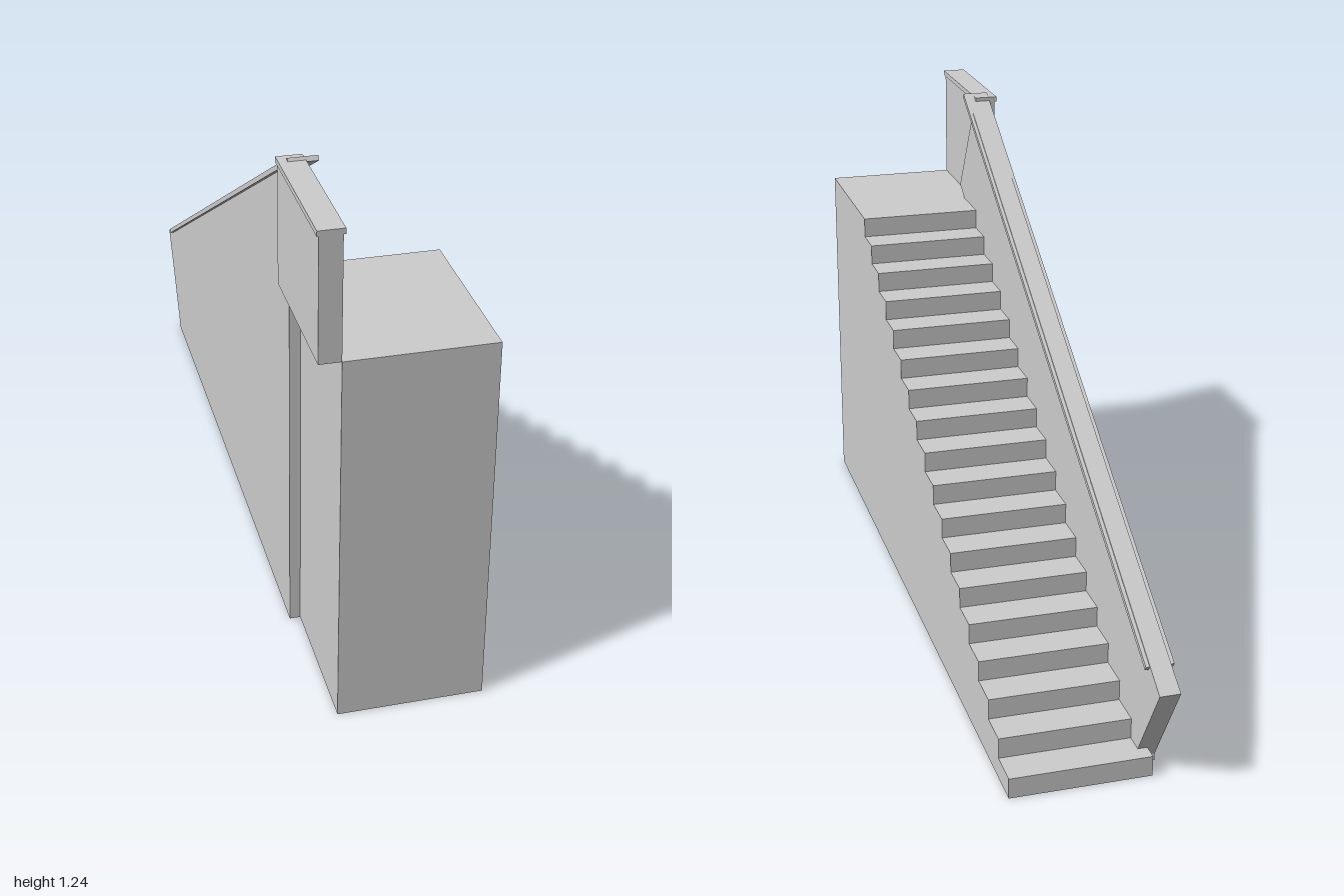
import * as THREE from 'three';

export function createModel() {
  const model = new THREE.Group();
  const stone = new THREE.MeshStandardMaterial({ color: 0xcccccc });
  stone.name = 'light grey stone';

  const add = (name, geometry) => {
    const mesh = new THREE.Mesh(geometry, stone);
    mesh.name = name;
    model.add(mesh);
    return mesh;
  };

  // Side profile given as [z, y] points, extruded from x0 to x1
  const slab = (name, points, x0, x1) => {
    const shape = new THREE.Shape(points.map(([z, y]) => new THREE.Vector2(z, y)));
    const geometry = new THREE.ExtrudeGeometry(shape, { depth: x1 - x0, bevelEnabled: false });
    geometry.rotateY(-Math.PI / 2).translate(x1, 0, 0);
    return add(name, geometry);
  };

  const box = (name, x0, x1, y0, y1, z0, z1) => {
    const geometry = new THREE.BoxGeometry(x1 - x0, y1 - y0, z1 - z0);
    geometry.translate((x0 + x1) / 2, (y0 + y1) / 2, (z0 + z1) / 2);
    return add(name, geometry);
  };

  // Solid flight of steps with the landing at the top
  const steps = 18, height = 0.93, foot = -0.91, landing = 0.565;
  const rise = height / steps, tread = (landing - foot) / (steps - 1);
  const profile = [[1, 0], [foot, 0]];
  for (let i = 0; i < steps; i++) {
    const z = foot + i * tread;
    profile.push([z, (i + 1) * rise]);
    if (i < steps - 1) profile.push([z + tread, (i + 1) * rise]);
  }
  profile.push([1, height]);
  slab('stairs', profile, -0.145, 0.2);

  // Sloping side wall: a tilted rectangle, described along and below its top edge
  const low = [-0.997, 0.265], high = [0.595, 1.205];
  const length = Math.hypot(high[0] - low[0], high[1] - low[1]);
  const dz = (high[0] - low[0]) / length, dy = (high[1] - low[1]) / length;
  const onSlope = (along, below) => [
    low[0] + dz * along + dy * below,
    low[1] + dy * along - dz * below,
  ];
  const tilted = (a0, a1, b0, b1) => [onSlope(a0, b0), onSlope(a0, b1), onSlope(a1, b1), onSlope(a1, b0)];
  const depth = 0.287;
  slab('slopingWall', tilted(0, length, 0, depth), -0.171, -0.121);

  // Handrail moulding, wider than the wall and shifted up the slope
  slab('handrail', tilted(0.078, length + 0.078, 0.003, 0.015), -0.18, -0.112);

  // Outer wall from the ground to the underside of the sloping wall
  const base = onSlope(0, depth), end = 0.64;
  const top = base[1] + (end - base[0]) * dy / dz;
  slab('outerWall', [[base[0], 0], [end, 0], [end, top], base], -0.171, -0.145);

  // Landing parapet and its coping
  box('parapet', -0.196, -0.145, height, 1.222, 0.638, 1);
  box('parapetCoping', -0.2, -0.14, 1.222, 1.235, 0.635, 1);

  return model;
}
